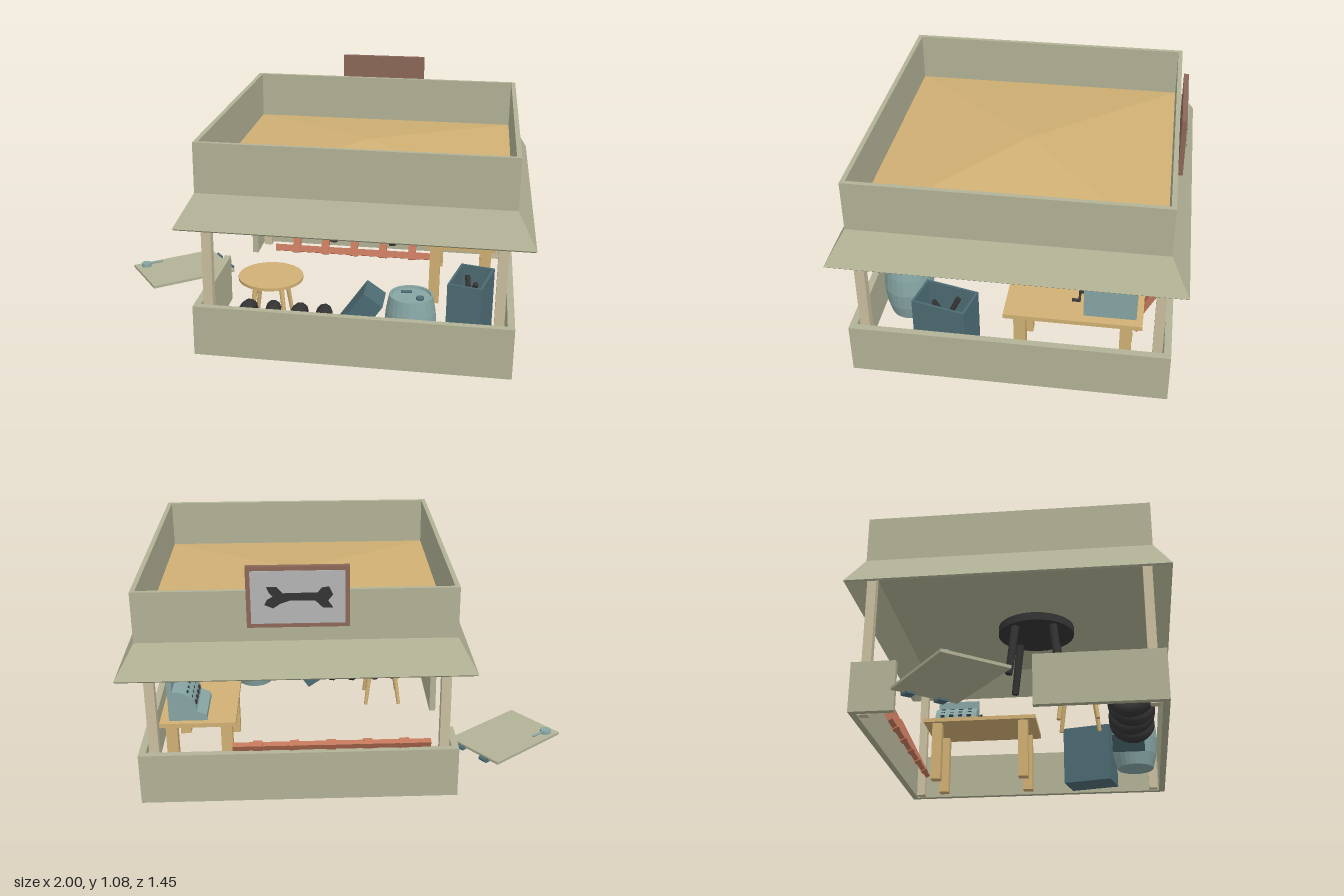
import * as THREE from 'three';

const mat = (name, color, side = THREE.FrontSide) => {
  const m = new THREE.MeshStandardMaterial({ color, side });
  m.name = name;
  return m;
};

export function createModel() {
  const olive = mat('olive wall', 0xb2b296);
  const wood = mat('golden wood', 0xd0b074);
  const cream = mat('pale post wood', 0xc9be9f);
  const brown = mat('sign brown', 0x8c6858);
  const grey = mat('sign grey', 0xb4b4b4);
  const black = mat('rubber black', 0x343434);
  const teal = mat('light teal', 0x86a5a4);
  const darkTeal = mat('dark teal', 0x4d6c74);
  const brick = mat('brick red', 0xc0755a);

  const root = new THREE.Group();
  root.name = 'workshopStand';
  const group = (name, x = 0, y = 0, z = 0, parent = root) => {
    const g = new THREE.Group();
    g.name = name;
    g.position.set(x, y, z);
    parent.add(g);
    return g;
  };
  const add = (name, geo, m, x = 0, y = 0, z = 0, parent = root) => {
    const mesh = new THREE.Mesh(geo, m);
    mesh.name = name;
    mesh.position.set(x, y, z);
    parent.add(mesh);
    return mesh;
  };
  // Box given by its limits on each axis
  const span = (name, m, x0, x1, y0, y1, z0, z1, parent = root) =>
    add(name, new THREE.BoxGeometry(x1 - x0, y1 - y0, z1 - z0), m,
      (x0 + x1) / 2, (y0 + y1) / 2, (z0 + z1) / 2, parent);
  // Round bar between two points
  const bar = (name, m, a, b, r0, r1, parent = root, sides = 12) => {
    const A = new THREE.Vector3(...a), B = new THREE.Vector3(...b), d = B.clone().sub(A);
    const mesh = add(name, new THREE.CylinderGeometry(r1, r0, d.length(), sides), m, 0, 0, 0, parent);
    mesh.position.copy(A).add(B).multiplyScalar(0.5);
    mesh.quaternion.setFromUnitVectors(new THREE.Vector3(0, 1, 0), d.normalize());
    return mesh;
  };
  const flat = (geo) => {
    const g = geo.index ? geo.toNonIndexed() : geo;
    g.computeVertexNormals();
    return g;
  };
  const CX = 0.255;

  // Low walls with a doorway on the -x side
  const walls = group('lowWalls');
  span('frontWall', olive, -0.43, 0.94, 0.01, 0.24, 0.65, 0.68, walls);
  span('backWall', olive, -0.43, 0.94, 0.01, 0.24, -0.68, -0.65, walls);
  span('sideWall', olive, 0.91, 0.94, 0.01, 0.24, -0.65, 0.65, walls);
  span('doorwayWallFront', olive, -0.43, -0.4, 0.01, 0.24, 0.11, 0.65, walls);
  span('doorwayWallBack', olive, -0.43, -0.4, 0.01, 0.24, -0.65, -0.48, walls);

  // Corner posts
  for (const x of [-0.37, 0.875]) for (const z of [-0.623, 0.62])
    span('post', cream, x - 0.021, x + 0.021, 0.01, 0.745, z - 0.021, z + 0.021);

  // Parapet and flared awning as one square ring
  const ring = [[0.738, 0.605], [0.745, 0.612], [0.665, 0.75], [0.665, 0.97], [0.645, 0.97],
    [0.645, 0.75], [0.738, 0.605]].map(([r, y]) => new THREE.Vector2(r * Math.SQRT2, y));
  const ringGeo = flat(new THREE.LatheGeometry(ring, 4, Math.PI / 4));
  ringGeo.scale(1, 1, 0.975);
  add('parapetAndAwning', ringGeo, olive, CX, 0, 0);
  span('ceiling', olive, CX - 0.65, CX + 0.65, 0.738, 0.748, -0.635, 0.635);
  const roof = flat(new THREE.ConeGeometry(0.646 * Math.SQRT2, 0.08, 4, 1, true).rotateY(Math.PI / 4));
  roof.scale(1, 1, 0.975);
  add('hippedRoof', roof, wood, CX, 0.79, 0);

  // Sign on the back with a spanner silhouette
  const sign = group('sign', 0.247, 0.95, -0.665);
  span('signBoard', brown, -0.208, 0.208, -0.13, 0.13, -0.009, 0.012, sign);
  span('signPanel', grey, -0.19, 0.19, -0.112, 0.112, -0.012, -0.007, sign);
  const spanner = new THREE.Shape([[-0.14, 0.01], [-0.125, 0.045], [-0.095, 0.04], [-0.08, 0.02],
    [0.06, 0.018], [0.085, 0.045], [0.125, 0.045], [0.115, 0.02], [0.1, 0.005], [0.125, -0.01],
    [0.135, -0.03], [0.1, -0.045], [0.07, -0.025], [0.03, -0.012], [-0.07, -0.015],
    [-0.1, -0.045], [-0.14, -0.045], [-0.12, -0.015]].map((p) => new THREE.Vector2(...p)));
  add('spanner', new THREE.ExtrudeGeometry(spanner, { depth: 0.004, bevelEnabled: false }),
    black, 0, 0, -0.015, sign);

  // Fallen door with hinges and handle
  const door = group('fallenDoor', -0.732, 0, -0.187);
  door.rotation.y = 0.657;
  span('doorPanel', olive, -0.22, 0.22, 0.013, 0.026, -0.152, 0.152, door);
  for (const z of [-0.075, 0.075]) {
    span('hingePlate', darkTeal, 0.19, 0.235, 0.003, 0.013, z - 0.02, z + 0.02, door);
    bar('hingePin', darkTeal, [0.232, 0.014, z - 0.022], [0.232, 0.014, z + 0.022], 0.011, 0.011, door);
  }
  add('handleRose', new THREE.CylinderGeometry(0.024, 0.026, 0.018, 20), teal, -0.167, 0.035, -0.11, door);
  bar('handleLever', teal, [-0.167, 0.038, -0.11], [-0.08, 0.036, -0.108], 0.005, 0.005, door);

  // Round table with splayed legs
  const table = group('roundTable', -0.165, 0, 0.29);
  add('roundTop', new THREE.CylinderGeometry(0.15, 0.15, 0.014, 32), wood, 0, 0.228, 0, table);
  for (let i = 0; i < 4; i++) {
    const a = Math.PI / 4 + i * Math.PI / 2, c = Math.cos(a), s = Math.sin(a);
    bar('roundTableLeg', wood, [c * 0.12, 0.005, s * 0.12], [c * 0.08, 0.225, s * 0.08], 0.009, 0.012, table);
  }

  // Row of leaning tyres
  for (let i = 0; i < 4; i++) {
    const tyre = group('tyre', -0.24 + i * 0.115, 0.105, 0.52);
    tyre.rotation.set(0, 0.12 * (i % 2 ? 1 : -1), -0.25);
    add('tyreRubber', new THREE.TorusGeometry(0.072, 0.034, 10, 28).rotateY(Math.PI / 2), black, 0, 0, 0, tyre);
  }

  // Barrel with rim and caps
  const barrel = group('barrel', 0.5, 0, 0.53);
  const staves = [[0, 0.005], [0.088, 0.005], [0.105, 0.07], [0.114, 0.15], [0.107, 0.23],
    [0.094, 0.3], [0.086, 0.3], [0.084, 0.29], [0, 0.29]].map((p) => new THREE.Vector2(...p));
  add('barrelBody', flat(new THREE.LatheGeometry(staves, 24)), teal, 0, 0, 0, barrel);
  add('barrelCap', new THREE.CylinderGeometry(0.017, 0.017, 0.012, 12), darkTeal, 0.04, 0.295, 0.025, barrel);
  bar('barrelSpout', darkTeal, [-0.045, 0.294, -0.03], [0, 0.294, -0.04], 0.007, 0.007, barrel);

  // Box leaning on the barrel
  add('leaningBox', new THREE.BoxGeometry(0.1, 0.3, 0.15), darkTeal, 0.256, 0.153, 0.5).rotation.z = -0.6;

  // Open tool crate
  const crate = group('toolCrate', 0.752, 0, 0.3);
  crate.rotation.y = -0.225;
  span('crateFloor', darkTeal, -0.078, 0.078, 0.005, 0.02, -0.123, 0.123, crate);
  for (const s of [-1, 1]) {
    add('crateSide', new THREE.BoxGeometry(0.01, 0.29, 0.246), darkTeal, s * 0.073, 0.155, 0, crate);
    add('crateEnd', new THREE.BoxGeometry(0.136, 0.29, 0.01), darkTeal, 0, 0.155, s * 0.118, crate);
  }
  bar('crateTool', black, [-0.03, 0.03, -0.06], [0.03, 0.285, 0.04], 0.012, 0.012, crate);
  bar('crateTool', black, [0.03, 0.03, 0.06], [-0.03, 0.28, -0.05], 0.012, 0.012, crate);

  // Workbench
  const bench = group('workbench');
  span('benchTop', wood, 0.53, 0.86, 0.305, 0.325, -0.555, 0.03, bench);
  for (const x of [0.575, 0.815]) for (const z of [-0.487, -0.037])
    span('benchLeg', wood, x - 0.025, x + 0.025, 0.005, 0.305, z - 0.025, z + 0.025, bench);

  // Till with curved key bank and side crank
  const till = group('till');
  const side = new THREE.Shape();
  side.moveTo(0.655, 0.325);
  side.lineTo(0.82, 0.325);
  side.lineTo(0.82, 0.515);
  side.lineTo(0.8, 0.515);
  side.lineTo(0.8, 0.462);
  side.lineTo(0.775, 0.462);
  side.quadraticCurveTo(0.71, 0.45, 0.697, 0.37);
  side.lineTo(0.655, 0.352);
  add('tillBody', new THREE.ExtrudeGeometry(side, { depth: 0.222, bevelEnabled: false, curveSegments: 8 }),
    teal, 0, 0, -0.528, till);
  for (let r = 0; r < 3; r++) for (let c = 0; c < 4; c++)
    add('tillKey', new THREE.BoxGeometry(0.014, 0.012, 0.022), black,
      0.704 + r * 0.018, 0.398 + r * 0.022, -0.49 + c * 0.048, till);
  bar('crankAxle', black, [0.775, 0.415, -0.306], [0.775, 0.415, -0.285], 0.007, 0.007, till);
  bar('crankArm', black, [0.765, 0.422, -0.287], [0.8, 0.388, -0.287], 0.005, 0.005, till);
  bar('crankGrip', black, [0.8, 0.388, -0.29], [0.8, 0.388, -0.255], 0.007, 0.007, till);

  // Ladder on its side, tipped against the back wall
  const ladder = group('ladder', 0.115, 0.143, -0.59);
  ladder.rotation.x = -0.48;
  for (const s of [-1, 1])
    add('ladderRail', new THREE.BoxGeometry(0.85, 0.035, 0.022), brick, 0, s * 0.13, 0, ladder);
  for (let i = 0; i < 5; i++)
    add('ladderRung', new THREE.BoxGeometry(0.04, 0.305, 0.03), brick, -0.31 + i * 0.157, 0, 0, ladder);

  // Black stool hung under the ceiling
  const stool = group('hangingStool', 0.25, 0, 0.065);
  add('stoolSeat', new THREE.CylinderGeometry(0.19, 0.19, 0.04, 28), black, 0, 0.66, 0, stool);
  for (const x of [-1, 1]) for (const z of [-1, 1])
    bar('stoolLeg', black, [x * 0.137, 0.38, z * 0.122], [x * 0.115, 0.65, z * 0.093], 0.018, 0.021, stool, 8);
  bar('stoolHanger', black, [0, 0.67, 0], [0, 0.74, 0], 0.012, 0.012, stool);

  return root;
}
